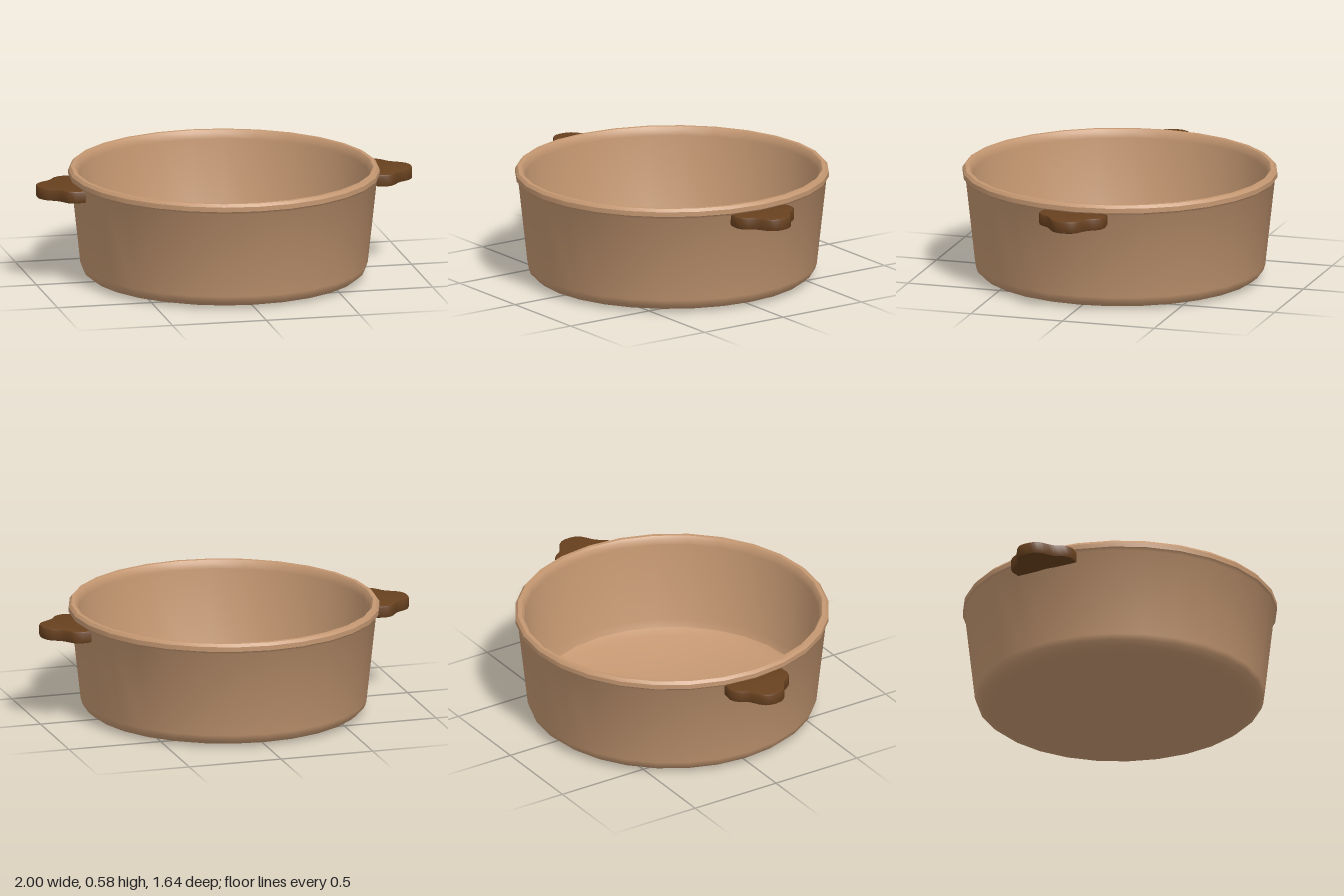
import * as THREE from 'three';
import { toCreasedNormals } from 'three/addons/utils/BufferGeometryUtils.js';

const v = (x, y) => new THREE.Vector2(x, y);

export function createModel() {
  const clay = new THREE.MeshStandardMaterial({ color: 0xc49771 });
  clay.name = 'clay';
  const wood = new THREE.MeshStandardMaterial({ color: 0x68411f });
  wood.name = 'dark wood';

  const model = new THREE.Group();
  model.name = 'cookingPot';

  // Open pot: one profile from the outer base, over the rim, to the inner floor
  const profile = [
    v(0, 0), v(0.67, 0.003), v(0.715, 0.015), v(0.745, 0.04), v(0.755, 0.07),
    v(0.805, 0.525), v(0.818, 0.54), v(0.818, 0.565), v(0.805, 0.58),
    v(0.785, 0.58), v(0.772, 0.565), v(0.768, 0.535),
    v(0.72, 0.12), v(0.705, 0.08), v(0.66, 0.055), v(0, 0.05),
  ];
  const potGeometry = new THREE.LatheGeometry(profile, 28);
  potGeometry.scale(0.99, 1, 1.005);
  const pot = new THREE.Mesh(toCreasedNormals(potGeometry, 0.7), clay);
  pot.name = 'potBody';
  model.add(pot);

  // Flat handle, wide at the pot and narrowing to a rounded tip
  const bevel = 0.01;
  const outline = new THREE.Shape();
  outline.moveTo(0.785, -0.165);
  outline.lineTo(0.83, -0.17);
  outline.bezierCurveTo(0.89, -0.16, 0.87, -0.115, 0.93, -0.085);
  outline.bezierCurveTo(0.98, -0.06, 0.99, -0.04, 0.99, 0);
  outline.bezierCurveTo(0.99, 0.04, 0.98, 0.06, 0.93, 0.085);
  outline.bezierCurveTo(0.87, 0.115, 0.89, 0.16, 0.83, 0.17);
  outline.lineTo(0.785, 0.165);
  outline.closePath();
  const extruded = new THREE.ExtrudeGeometry(outline, {
    depth: 0.066 - 2 * bevel, bevelEnabled: true, bevelSize: bevel,
    bevelThickness: bevel, bevelSegments: 2, curveSegments: 6,
  });
  extruded.rotateX(-Math.PI / 2);
  extruded.translate(0, 0.468 + bevel, 0);
  const handleGeometry = toCreasedNormals(extruded, 0.7);

  // The same handle on both sides
  for (const [name, turn] of [['leftHandle', 0], ['rightHandle', Math.PI]]) {
    const handle = new THREE.Mesh(handleGeometry, wood);
    handle.name = name;
    handle.rotation.y = turn;
    model.add(handle);
  }
  return model;
}
